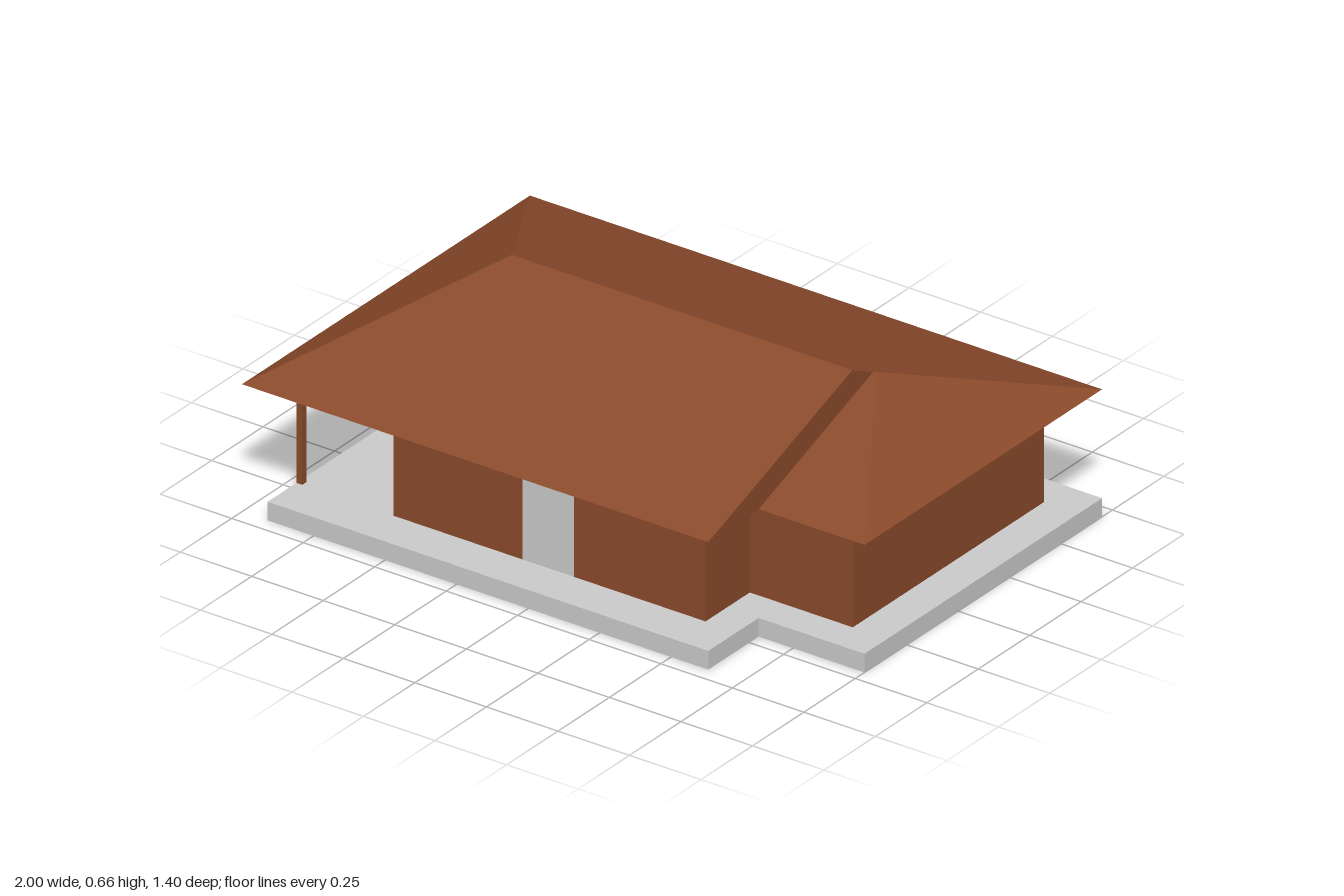
import * as THREE from 'three';

const FLOOR = 0.06, EAVE = 0.41, T = 0.02;

export function createModel() {
  const house = new THREE.Group();
  house.name = 'house';
  const brown = new THREE.MeshStandardMaterial({ color: 0x8b4a2b });
  brown.name = 'terracotta brown';
  const grey = new THREE.MeshStandardMaterial({ color: 0xcccccc });
  grey.name = 'pale grey';

  const add = (name, geometry, material, parent = house) => {
    const mesh = new THREE.Mesh(geometry, material);
    mesh.name = name;
    parent.add(mesh);
    return mesh;
  };
  // Wall or post standing on the floor, given by its x and z ranges
  const upright = (name, material, x0, x1, z0, z1) => {
    const mesh = add(name, new THREE.BoxGeometry(x1 - x0, EAVE - FLOOR, z1 - z0), material);
    mesh.position.set((x0 + x1) / 2, (FLOOR + EAVE) / 2, (z0 + z1) / 2);
  };
  const outline = (points) => new THREE.Shape(points.map(([a, b]) => new THREE.Vector2(a, b)));
  const rect = (a0, b0, a1, b1) => [[a0, b0], [a1, b0], [a1, b1], [a0, b1]];
  // Wall with a window opening, drawn flat and extruded
  const windowWall = (a0, a1, w0, w1) => {
    const shape = outline(rect(a0, FLOOR, a1, EAVE));
    shape.holes.push(outline(rect(w0, 0.2, w1, 0.35)));
    return new THREE.ExtrudeGeometry(shape, { depth: T, bevelEnabled: false });
  };

  // Floor slab with a notched front corner
  const slab = new THREE.ExtrudeGeometry(
    outline([[-0.91, -0.7], [1, -0.7], [1, 0.455], [0.63, 0.455], [0.63, 0.7], [-0.91, 0.7]]),
    { depth: FLOOR, bevelEnabled: false });
  slab.rotateX(Math.PI / 2).translate(0, FLOOR, 0);
  add('floorSlab', slab, grey);

  // Brown outer walls
  upright('frontWallLeftOfDoor', brown, -0.57, -0.12, 0.54, 0.56);
  upright('frontWallRightOfDoor', brown, 0.06, 0.52, 0.54, 0.56);
  upright('stepSideWall', brown, 0.5, 0.52, 0.345, 0.54);
  upright('stepFrontWall', brown, 0.5, 0.88, 0.325, 0.345);
  upright('sideWall', brown, 0.86, 0.88, -0.565, 0.325);
  upright('backWall', brown, 0.12, 0.88, -0.585, -0.565);
  upright('porchSideWall', brown, -0.57, -0.55, -0.24, 0.54);

  // Pale door, porch wall and room partition
  upright('door', grey, -0.12, 0.06, 0.54, 0.56);
  upright('porchBackWall', grey, -0.91, -0.12, -0.26, -0.24);
  upright('partition', grey, -0.12, -0.1, -0.565, -0.24);

  // Pale walls with window openings
  add('backWindowWall', windowWall(-0.91, 0.12, -0.46, -0.165), grey).position.z = -0.585;
  const side = windowWall(0.26, 0.565, 0.345, 0.49);
  side.rotateY(Math.PI / 2).translate(-0.91, 0, 0);
  add('sideWindowWall', side, grey);

  // Porch posts
  for (const z of [0.14, 0.54]) upright('porchPost', brown, -0.91, -0.89, z, z + T);

  // Hipped roof with a lower hip set back at one end
  const A = [-1, EAVE, 0.7], B = [0.63, EAVE, 0.7], C = [0.63, 0.66, 0], D = [-0.56, 0.66, 0];
  const E = [-1, EAVE, -0.7], F = [1, EAVE, -0.7], G = [0.63, 0.617, -0.12];
  const H = [1, EAVE, 0.455], I = [0.63, EAVE, 0.455];
  const roof = new THREE.Group();
  roof.name = 'roof';
  house.add(roof);
  const slopes = {
    frontSlope: [A, B, C, D], leftHip: [E, A, D], backSlope: [F, E, D, C, G],
    rightHip: [H, F, G], lowerFrontSlope: [I, H, G], gableStep: [B, I, G, C],
  };
  for (const [name, corners] of Object.entries(slopes)) {
    const points = [];
    for (let i = 1; i < corners.length - 1; i++) points.push(...corners[0], ...corners[i], ...corners[i + 1]);
    const geometry = new THREE.BufferGeometry();
    geometry.setAttribute('position', new THREE.Float32BufferAttribute(points, 3));
    geometry.computeVertexNormals();
    add(name, geometry, brown, roof);
  }

  // Flat undersides: brown rear eave, pale ceiling over rooms and porch
  const underside = (name, material, points) => {
    const geometry = new THREE.ShapeGeometry(outline(points));
    geometry.rotateX(Math.PI / 2).translate(0, EAVE, 0);
    add(name, geometry, material, roof);
  };
  underside('rearSoffit', brown,
    [[-1, -0.7], [1, -0.7], [1, 0.05], [0.88, -0.12], [0.88, -0.585], [-1, -0.585]]);
  underside('ceiling', grey, [[-1, -0.585], [0.88, -0.585], [0.88, -0.12], [1, 0.05],
    [1, 0.455], [0.63, 0.455], [0.63, 0.7], [-1, 0.7]]);

  return house;
}
